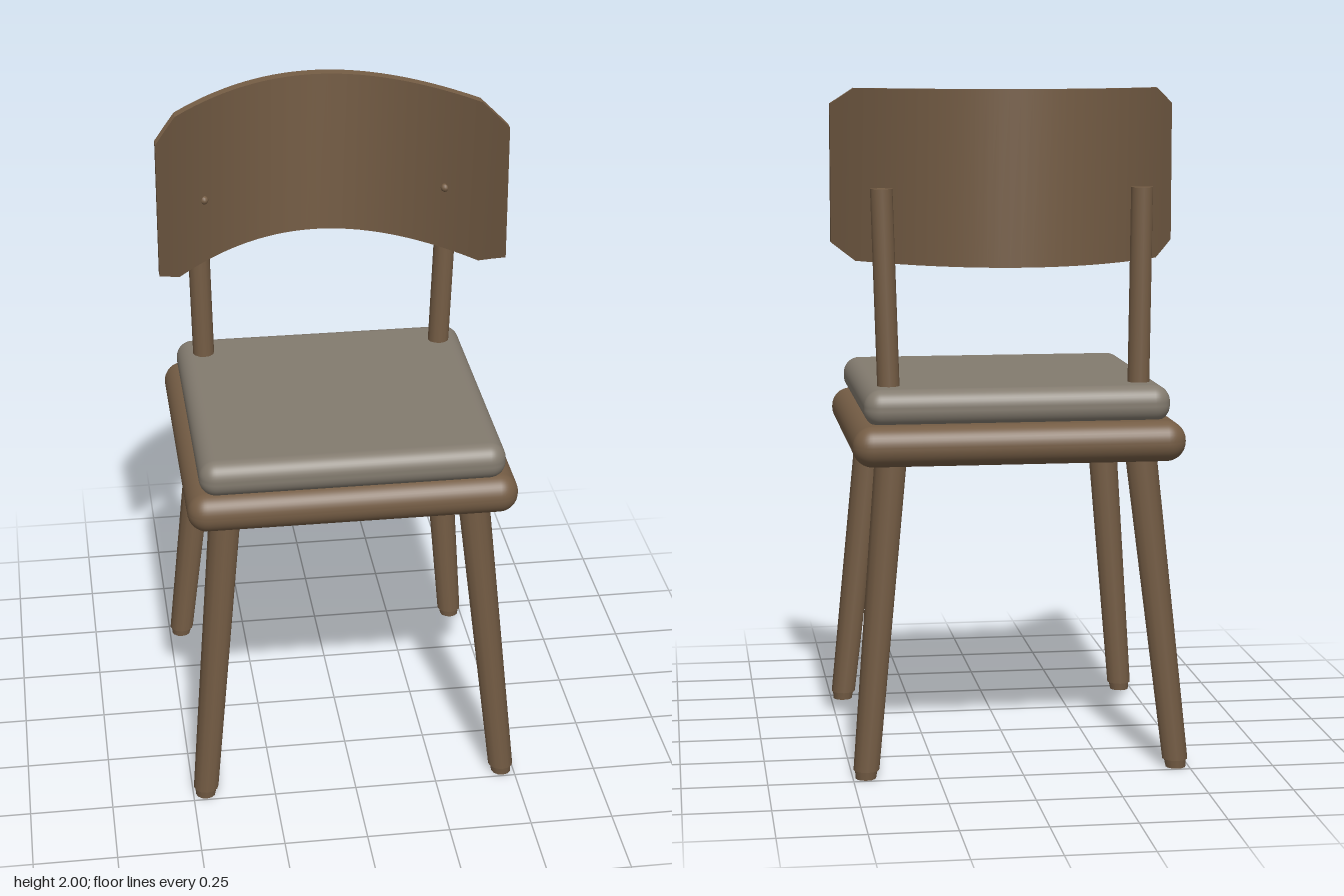
import * as THREE from 'three';
import { toCreasedNormals } from 'three/addons/utils/BufferGeometryUtils.js';
import { RoundedBoxGeometry } from 'three/addons/geometries/RoundedBoxGeometry.js';

// Leaning round rod with level ends, from a (lower) to b (upper)
function rodGeometry(a, b, rLow, rHigh) {
  const h = b[1] - a[1];
  const g = new THREE.CylinderGeometry(rHigh, rLow, h, 12);
  const p = g.attributes.position;
  for (let i = 0; i < p.count; i++) {
    const t = p.getY(i) / h + 0.5;
    p.setXYZ(i,
      p.getX(i) + a[0] + (b[0] - a[0]) * t,
      a[1] + h * t,
      p.getZ(i) + a[2] + (b[2] - a[2]) * t);
  }
  return g;
}

// Plan curves of the backrest
const innerZ = (x) => -0.4 + 0.4 * (x / 0.52) ** 2;
const outerZ = (x) => -0.437 + 0.4 * (x / 0.52) ** 2;

// Bent panel with clipped corners
function backrestGeometry() {
  const g = new THREE.BoxGeometry(1.04, 2, 2, 32, 1, 1);
  const p = g.attributes.position;
  for (let i = 0; i < p.count; i++) {
    const x = p.getX(i);
    const clip = Math.max(0, Math.abs(x) - 0.455) / 0.065 * 0.048;
    p.setY(i, 1.745 + p.getY(i) * (0.255 - clip));
    p.setZ(i, p.getZ(i) > 0 ? innerZ(x) : outerZ(x));
  }
  return toCreasedNormals(g, 0.5);
}

export function createModel() {
  const chair = new THREE.Group();
  chair.name = 'chair';
  const wood = new THREE.MeshStandardMaterial({ color: 0x755d45 });
  wood.name = 'brown wood';
  const fabric = new THREE.MeshStandardMaterial({ color: 0x837b6f });
  fabric.name = 'grey fabric';

  const add = (name, geometry, material) => {
    const mesh = new THREE.Mesh(geometry, material);
    mesh.name = name;
    chair.add(mesh);
    return mesh;
  };

  // Seat
  add('seatFrame', new RoundedBoxGeometry(0.98, 0.12, 0.965, 5, 0.058), wood).position.set(0, 0.975, 0);
  add('seatCushion', new RoundedBoxGeometry(0.905, 0.11, 0.885, 5, 0.05), fabric).position.set(0, 1.08, 0.02);

  // Backrest
  add('backrest', backrestGeometry(), wood);

  for (const s of [1, -1]) {
    const side = s > 0 ? 'left' : 'right';

    // Splayed legs and their foot tips
    for (const f of [1, -1]) {
      const end = f > 0 ? 'Front' : 'Back';
      add(side + end + 'Leg', rodGeometry([s * 0.46, 0.025, f * 0.462], [s * 0.37, 0.95, f * 0.342], 0.038, 0.048), wood);
      add(side + end + 'Foot', rodGeometry([s * 0.462, 0, f * 0.465], [s * 0.46, 0.03, f * 0.462], 0.03, 0.034), wood);
    }

    // Posts carrying the backrest
    add(side + 'Post', rodGeometry([s * 0.37, 1.0, -0.304], [s * 0.387, 1.71, -0.258], 0.033, 0.033), wood);

    // Small pegs on the inner face of the backrest
    add(side + 'Peg', new THREE.SphereGeometry(0.013, 12, 8), wood).position.set(s * 0.367, 1.69, innerZ(0.367));
  }
  return chair;
}
